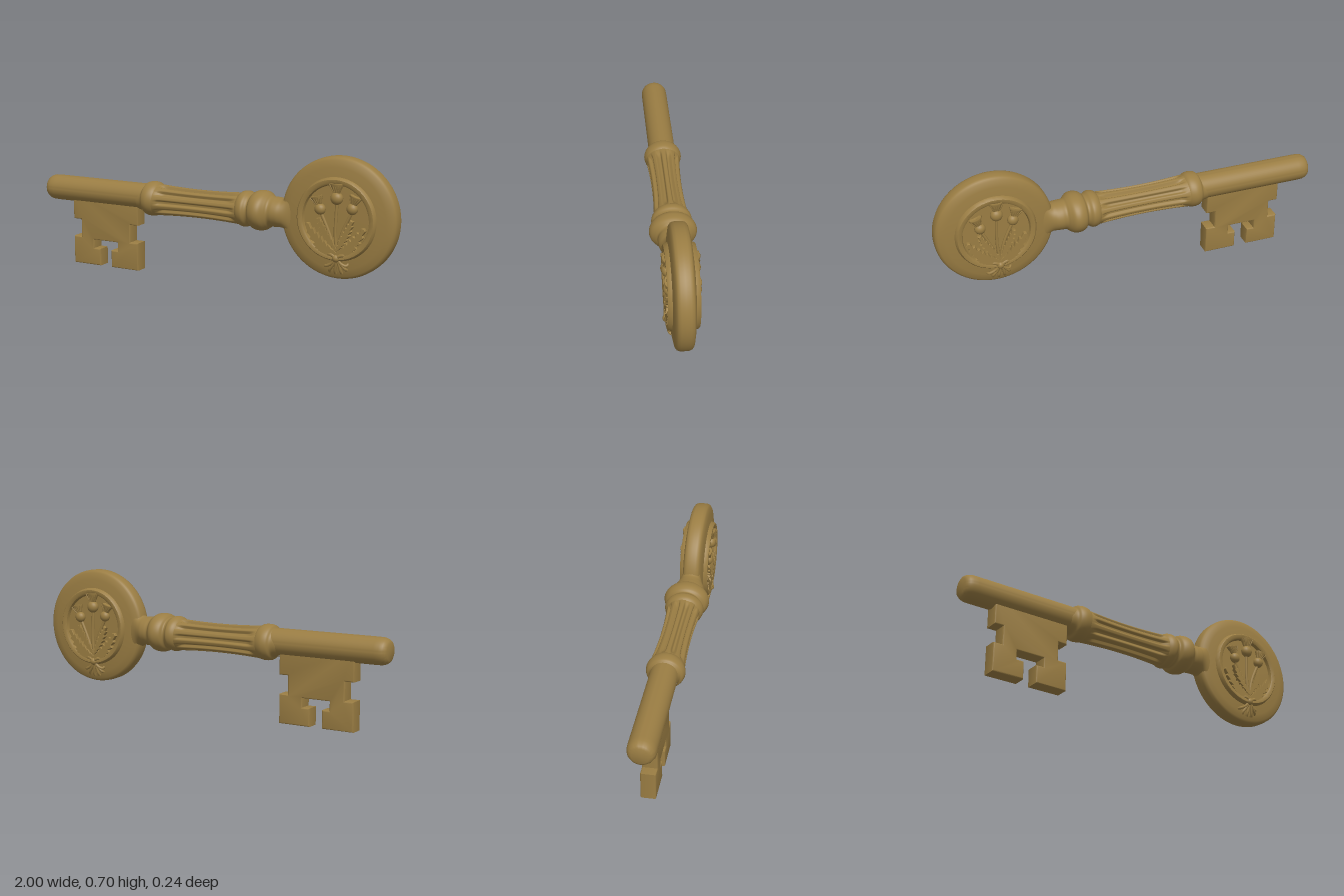
import * as THREE from 'three';
import { toCreasedNormals } from 'three/addons/utils/BufferGeometryUtils.js';

const brass = new THREE.MeshStandardMaterial({ color: 0x9a7d43 });
brass.name = 'aged brass';

const V = (x, y, z = 0) => new THREE.Vector3(x, y, z);

function add(parent, name, geometry) {
  const mesh = new THREE.Mesh(geometry, brass);
  mesh.name = name;
  parent.add(mesh);
  return mesh;
}

// Loft of elliptical sections [x, ry, rz] along x; carve(x, angle) reduces the radius.
function loft(rows, cy, n = 48, carve = () => 0) {
  const pos = [], idx = [];
  rows.forEach(([x, ry, rz], i) => {
    for (let j = 0; j < n; j++) {
      const a = (j / n) * Math.PI * 2, c = carve(x, a);
      pos.push(x, cy + Math.cos(a) * (ry - c), Math.sin(a) * (rz - c));
      if (i === rows.length - 1) continue;
      const p = i * n + j, q = i * n + ((j + 1) % n);
      idx.push(p, q, p + n, q, q + n, p + n);
    }
  });
  const g = new THREE.BufferGeometry();
  g.setAttribute('position', new THREE.Float32BufferAttribute(pos, 3));
  g.setIndex(idx);
  g.computeVertexNormals();
  return g;
}

// Smooth the section list into a flowing profile.
const smoothRows = (rows, steps) =>
  new THREE.CatmullRomCurve3(rows.map(r => V(...r))).getPoints(steps).map(p => [p.x, p.y, p.z]);

function tube(points, r, steps = 14) {
  return new THREE.TubeGeometry(new THREE.CatmullRomCurve3(points), steps, r, 7);
}

// Serrated leaf along a curved midrib.
function leafGeometry(a, b, c, width) {
  const rib = new THREE.QuadraticBezierCurve(new THREE.Vector2(...a), new THREE.Vector2(...b), new THREE.Vector2(...c));
  const left = [], right = [], n = 14;
  for (let i = 0; i <= n; i++) {
    const t = i / n, p = rib.getPoint(t), d = rib.getTangent(t);
    const tooth = i % 2 ? 1 : 0.5;
    const w = width * Math.pow(Math.sin(Math.PI * (0.06 + 0.93 * t)), 0.7) * tooth;
    const lean = i % 2 ? 0.012 : 0;
    left.push(new THREE.Vector2(p.x - d.y * w + d.x * lean, p.y + d.x * w + d.y * lean));
    right.unshift(new THREE.Vector2(p.x + d.y * w + d.x * lean, p.y - d.x * w + d.y * lean));
  }
  const g = new THREE.ExtrudeGeometry(new THREE.Shape([...left, ...right]), {
    depth: 0.016, bevelThickness: 0.005, bevelSize: 0.002, bevelSegments: 1,
  });
  return g.translate(0, 0, 0.053);
}

// Thistle flower: round bulb, flared tuft and small bracts.
function thistle(parent, x, y, tilt, size) {
  const head = new THREE.Group();
  head.name = 'thistleHead';
  head.position.set(x, y, 0.065);
  head.rotation.z = tilt;
  head.scale.set(size, size, size * 0.85);
  parent.add(head);
  add(head, 'bulb', new THREE.SphereGeometry(0.033, 20, 14));
  const profile = [[0, 0.02], [0.017, 0.02], [0.02, 0.035], [0.029, 0.055], [0.04, 0.073], [0.035, 0.077], [0, 0.07]];
  add(head, 'tuft', new THREE.LatheGeometry(profile.map(p => new THREE.Vector2(...p)), 20)).scale.z = 0.75;
  for (let i = -2; i <= 2; i++) {
    const s = i * 0.009;
    add(head, 'tuftStrand', tube([V(s * 0.8, 0.03, 0.014), V(s * 1.3, 0.052, 0.021), V(s * 1.9, 0.074, 0.022)], 0.003, 5));
  }
}

// Plant relief in head-local coordinates, facing +z.
function plantRelief() {
  const g = new THREE.Group();
  g.name = 'thistleRelief';
  thistle(g, 0.005, 0.105, 0, 0.95);
  thistle(g, -0.08, 0.045, 0.3, 0.85);
  thistle(g, 0.085, 0.06, -0.3, 0.85);
  for (const [x, y, bend] of [[0.005, 0.08, 0], [-0.073, 0.02, -0.035], [0.078, 0.035, 0.035]])
    add(g, 'stem', tube([V(0.01, -0.17, 0.065), V(bend, -0.06, 0.063), V(x, y, 0.062)], 0.008));
  for (const s of [-1, 1]) {
    add(g, 'outerLeaf', leafGeometry([0.01, -0.165], [s * 0.09, -0.14], [s * 0.148, -0.03], 0.028));
    add(g, 'innerLeaf', leafGeometry([0.01, -0.15], [s * 0.06, -0.07], [s * 0.085, 0.0], 0.02));
    add(g, 'lowerLeaf', leafGeometry([0.01, -0.17], [s * 0.06, -0.17], [s * 0.105, -0.125], 0.02));
    add(g, 'tie', tube([V(0.01, -0.185, 0.072), V(0.01 + s * 0.03, -0.17, 0.07), V(0.01 + s * 0.055, -0.175, 0.063)], 0.009));
  }
  add(g, 'knot', new THREE.SphereGeometry(0.02, 14, 10)).position.set(0.008, -0.188, 0.066);
  // Splayed roots
  for (const [x, y] of [[-0.055, -0.235], [-0.03, -0.262], [0.0, -0.268], [0.032, -0.265], [0.058, -0.245], [0.064, -0.215]])
    add(g, 'root', tube([V(0.008, -0.185, 0.066), V(x * 0.4 + 0.008, -0.215, 0.063), V(x * 0.9, y * 0.55 - 0.105, 0.056), V(x, y, 0.047)], 0.0075));
  return g;
}

export function createModel() {
  const key = new THREE.Group();
  key.name = 'key';

  // Plain round shaft with a softened tip
  add(key, 'shaft', toCreasedNormals(loft([
    [-1, 0, 0], [-1, 0.042, 0.042], [-0.994, 0.053, 0.054], [-0.982, 0.061, 0.063],
    [-0.965, 0.066, 0.068], [-0.94, 0.067, 0.069], [-0.37, 0.067, 0.069],
  ], 0.4), 0.7));

  // Collar between shaft and grip
  add(key, 'lowerCollar', loft(smoothRows([
    [-0.42, 0.064, 0.068], [-0.39, 0.07, 0.075], [-0.375, 0.085, 0.09], [-0.35, 0.09, 0.097],
    [-0.325, 0.088, 0.092], [-0.31, 0.08, 0.084], [-0.29, 0.06, 0.06],
  ], 30), 0.393));

  // Fluted grip, slightly waisted
  const x0 = -0.325, x1 = 0.19, gripRows = [];
  for (let i = 0; i <= 36; i++) {
    const t = i / 36, u = (2 * t - 1) ** 2;
    gripRows.push([x0 + (x1 - x0) * t, 0.073 + 0.01 * u, 0.077 + 0.012 * u]);
  }
  const S = THREE.MathUtils.smoothstep;
  add(key, 'flutedGrip', loft(gripRows, 0.39, 120, (x, a) => {
    const ends = S(x, -0.31, -0.26) * S(-x, -0.17, -0.12);
    return 0.015 * ends * S(Math.cos(a * 10 + Math.PI), -0.25, 0.6);
  }));

  // Turned collar, ball and neck flowing into the head
  add(key, 'neck', loft(smoothRows([
    [0.15, 0.065, 0.07], [0.17, 0.084, 0.09], [0.185, 0.09, 0.098], [0.205, 0.09, 0.1], [0.222, 0.082, 0.088],
    [0.232, 0.08, 0.087], [0.245, 0.091, 0.105], [0.265, 0.099, 0.115], [0.285, 0.1, 0.118], [0.305, 0.097, 0.112],
    [0.325, 0.086, 0.092], [0.338, 0.077, 0.079], [0.36, 0.075, 0.08], [0.385, 0.074, 0.077], [0.405, 0.077, 0.069],
    [0.425, 0.094, 0.06], [0.445, 0.125, 0.053], [0.47, 0.165, 0.047], [0.51, 0.19, 0.035],
  ], 90), 0.393));

  // Toothed bit
  const half = [[-0.2, 0.4], [-0.2, 0.245], [-0.152, 0.245], [-0.152, 0.146], [-0.2, 0.146], [-0.2, 0.002],
    [-0.036, 0.002], [-0.036, 0.09], [-0.076, 0.09], [-0.076, 0.141]];
  const outline = [...half, ...half.map(([x, y]) => [-x, y]).reverse()].map(p => new THREE.Vector2(...p));
  const bit = new THREE.ExtrudeGeometry(new THREE.Shape(outline), {
    depth: 0.062, bevelThickness: 0.007, bevelSize: 0.007, bevelOffset: -0.005, bevelSegments: 3,
  });
  add(key, 'bit', toCreasedNormals(bit.translate(-0.63, 0, -0.031), 0.6));

  // Round head with a raised ring on both faces
  const head = new THREE.Group();
  head.name = 'head';
  head.position.set(0.7, 0.4, 0);
  key.add(head);
  const side = [[0.3, 0], [0.299, 0.022], [0.294, 0.035], [0.284, 0.042], [0.25, 0.049], [0.205, 0.054],
    [0.2, 0.07], [0.195, 0.075], [0.18, 0.075], [0.172, 0.07], [0.167, 0.054], [0, 0.056]];
  const profile = [...side.map(([r, z]) => [r, -z]).reverse(), ...side.slice(1)];
  const disc = new THREE.LatheGeometry(profile.map(p => new THREE.Vector2(...p)), 96);
  add(head, 'disc', toCreasedNormals(disc.rotateX(Math.PI / 2), 0.6));

  // Plant relief on the front and the back
  const front = plantRelief();
  const back = plantRelief();
  back.rotation.y = Math.PI;
  head.add(front, back);

  return key;
}
